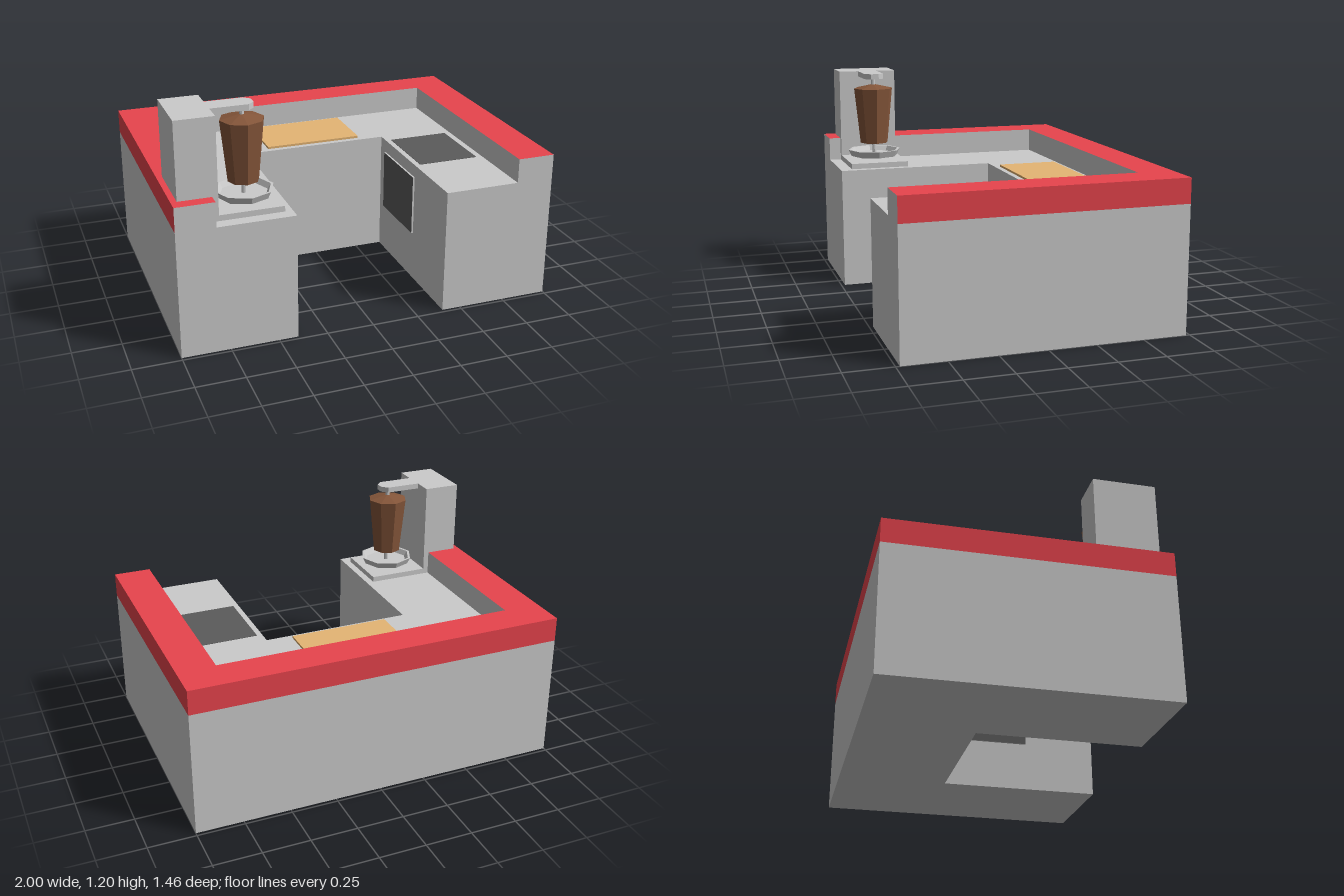
import * as THREE from 'three';

const paint = (color) => new THREE.MeshStandardMaterial({ color, flatShading: true });

export function createModel() {
  const model = new THREE.Group();
  const grey = paint(0xcccccc), red = paint(0xe8444d), dark = paint(0x5b5b5b);
  const wood = paint(0xe5b574), meat = paint(0x85563a);

  const add = (name, geometry, material, parent = model) => {
    const mesh = new THREE.Mesh(geometry, material);
    mesh.name = name;
    parent.add(mesh);
    return mesh;
  };
  // Box given by its limits along each axis
  const box = (name, [x0, x1], [y0, y1], [z0, z1], material, parent) => {
    const geometry = new THREE.BoxGeometry(x1 - x0, y1 - y0, z1 - z0);
    geometry.translate((x0 + x1) / 2, (y0 + y1) / 2, (z0 + z1) / 2);
    return add(name, geometry, material, parent);
  };
  // Flat slab from a plan outline of [x, z] points
  const slab = (name, plan, y0, y1, material, parent) => {
    const shape = new THREE.Shape(plan.map(([x, z]) => new THREE.Vector2(x, -z)));
    const geometry = new THREE.ExtrudeGeometry(shape, { depth: y1 - y0, bevelEnabled: false });
    geometry.rotateX(-Math.PI / 2).translate(0, y0, 0);
    return add(name, geometry, material, parent);
  };

  // U-shaped counter, open to the front
  const top = 0.67, W = 1, D = 0.73;
  slab('counter', [
    [-W, D], [-0.4, D], [-0.4, -0.14], [0.4, -0.14],
    [0.4, D], [W, D], [W, -D], [-W, -D],
  ], 0, top, grey);

  // Raised serving ledge: red on top and outside, grey inside and at the ends
  const ledge = new THREE.Group();
  ledge.name = 'ledge';
  model.add(ledge);
  const ly = [top, 0.8];
  box('ledgeLeft', [0.8, W], ly, [-D, D], [red, grey, red, grey, grey, red], ledge);
  box('ledgeRight', [-W, -0.8], ly, [-D, D], [grey, red, red, grey, grey, red], ledge);
  box('ledgeBack', [-0.8, 0.8], ly, [-D, -0.54], [grey, grey, red, grey, grey, red], ledge);

  // Worktop fittings
  box('cuttingBoard', [-0.27, 0.265], [top, 0.682], [-0.505, -0.17], wood);
  box('hotplate', [0.43, 0.765], [top, 0.672], [-0.07, 0.33], dark);
  box('ovenDoor', [0.39, 0.4], [0.27, 0.6], [-0.07, 0.33],
    [grey, dark, grey, grey, grey, grey]);

  // Vertical grill
  const grill = new THREE.Group();
  grill.name = 'grill';
  model.add(grill);
  box('grillBase', [-0.97, -0.44], [top, 0.7], [0.335, 0.665], grey, grill);
  box('grillColumn', [-0.97, -0.77], [0.7, 1.2], [0.335, 0.665], grey, grill);
  slab('grillArm', [
    [-0.77, 0.555], [-0.577, 0.555], [-0.545, 0.523],
    [-0.545, 0.477], [-0.577, 0.445], [-0.77, 0.445],
  ], 1.17, 1.2, grey, grill);

  // Eight-sided turned parts around the spit axis
  const turned = (name, profile, material) => {
    const points = profile.map(([r, y]) => new THREE.Vector2(r, y));
    add(name, new THREE.LatheGeometry(points, 8), material, grill).position.set(-0.6, 0, 0.5);
  };
  turned('spit', [[0.012, 0.69], [0.012, 1.175]], grey);
  turned('drippingDish', [
    [0, 0.72], [0.135, 0.72], [0.153, 0.757], [0.139, 0.757], [0.122, 0.73], [0, 0.73],
  ], grey);
  turned('meat', [[0, 0.785], [0.08, 0.797], [0.112, 1.115], [0, 1.14]], meat);

  return model;
}
